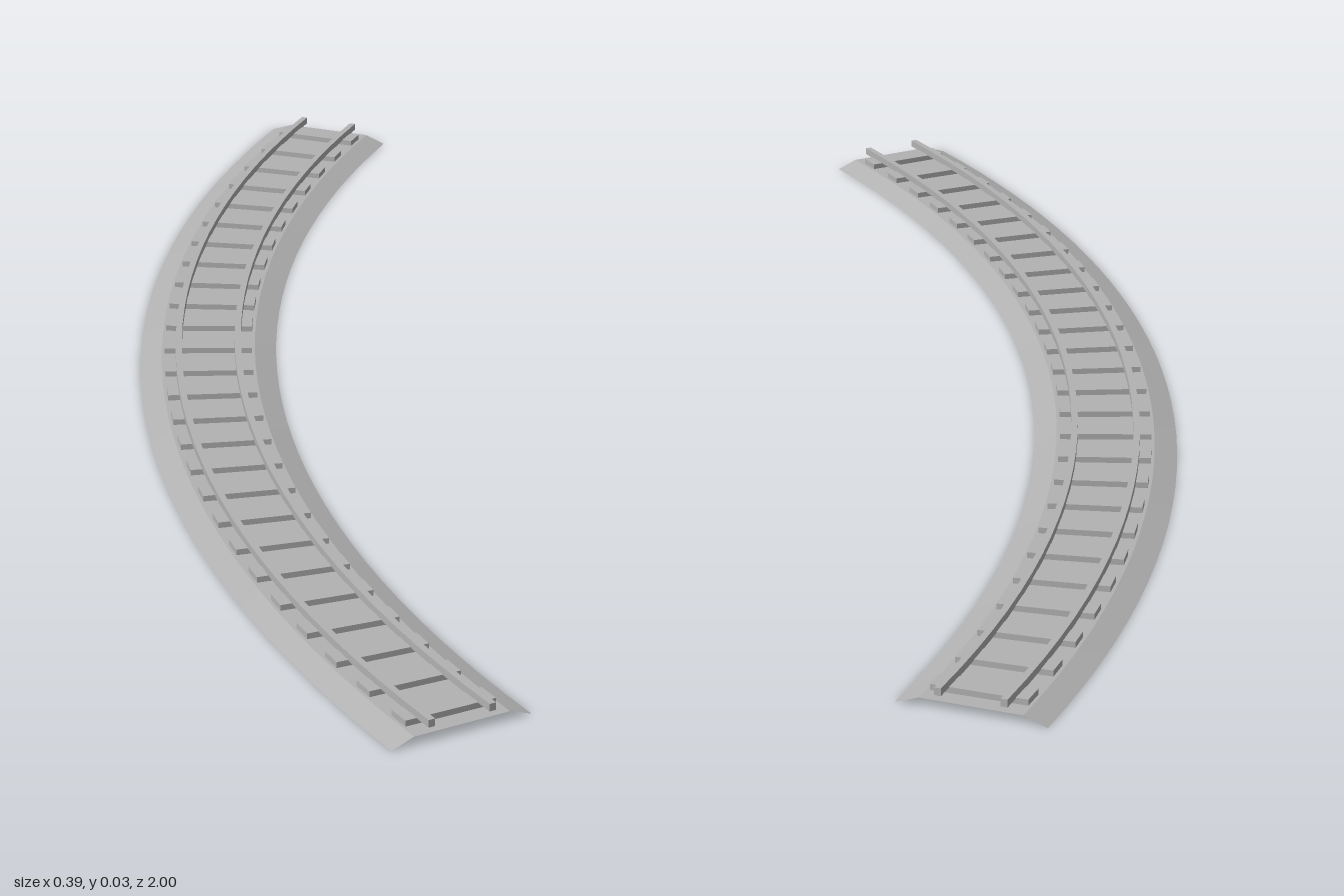
import * as THREE from 'three';
import { toCreasedNormals } from 'three/addons/utils/BufferGeometryUtils.js';

const CENTRE_X = 2.097;   // centre of the curve
const RADIUS = 2.2025;    // radius of the track's middle line
const HALF_ANGLE = 0.4518;
const SEGMENTS = 36;
const TIES = 26;

// Point on the curve: offset is outward from the middle line
function arcPoint(offset, y, angle) {
  const r = RADIUS + offset;
  return [CENTRE_X - r * Math.cos(angle), y, r * Math.sin(angle)];
}

// Sweep a profile of [offset, y] points along the arc
function sweep(profile, closed) {
  const pos = [];
  const n = profile.length;
  const at = (i, j) => arcPoint(...profile[i % n], HALF_ANGLE * (2 * j / SEGMENTS - 1));
  for (let j = 0; j < SEGMENTS; j++) {
    for (let i = 0; i < (closed ? n : n - 1); i++) {
      const a = at(i, j), b = at(i + 1, j), c = at(i + 1, j + 1), d = at(i, j + 1);
      pos.push(...a, ...b, ...c, ...a, ...c, ...d);
    }
  }
  // end caps for solid profiles
  if (closed) {
    for (let i = 1; i < n - 1; i++) {
      pos.push(...at(0, 0), ...at(i + 1, 0), ...at(i, 0));
      pos.push(...at(0, SEGMENTS), ...at(i, SEGMENTS), ...at(i + 1, SEGMENTS));
    }
  }
  const g = new THREE.BufferGeometry();
  g.setAttribute('position', new THREE.Float32BufferAttribute(pos, 3));
  return toCreasedNormals(g, 0.25);
}

export function createModel() {
  const group = new THREE.Group();
  group.name = 'curvedTrack';
  const grey = new THREE.MeshStandardMaterial({ color: 0xb2b2b2, side: THREE.DoubleSide });
  grey.name = 'grey';

  // Ballast bed: open shell with sloping shoulders
  const bed = new THREE.Mesh(
    sweep([[-0.0875, 0], [-0.06, 0.01], [0.06, 0.01], [0.0875, 0]], false), grey);
  bed.name = 'ballastBed';
  group.add(bed);

  // Two rails
  for (const side of [-1, 1]) {
    const c = side * 0.038, w = 0.004;
    const rail = new THREE.Mesh(
      sweep([[c - w, 0.016], [c - w, 0.025], [c + w, 0.025], [c + w, 0.016]], true), grey);
    rail.name = side < 0 ? 'innerRail' : 'outerRail';
    group.add(rail);
  }

  // Evenly spaced cross ties
  const ties = new THREE.Group();
  ties.name = 'ties';
  const tieGeometry = new THREE.BoxGeometry(0.112, 0.008, 0.03);
  for (let i = 0; i < TIES; i++) {
    const angle = HALF_ANGLE * (2 * (i + 0.5) / TIES - 1);
    const tie = new THREE.Mesh(tieGeometry, grey);
    tie.name = 'tie';
    tie.position.set(...arcPoint(0, 0.013, angle));
    tie.rotation.y = angle;
    ties.add(tie);
  }
  group.add(ties);
  return group;
}
